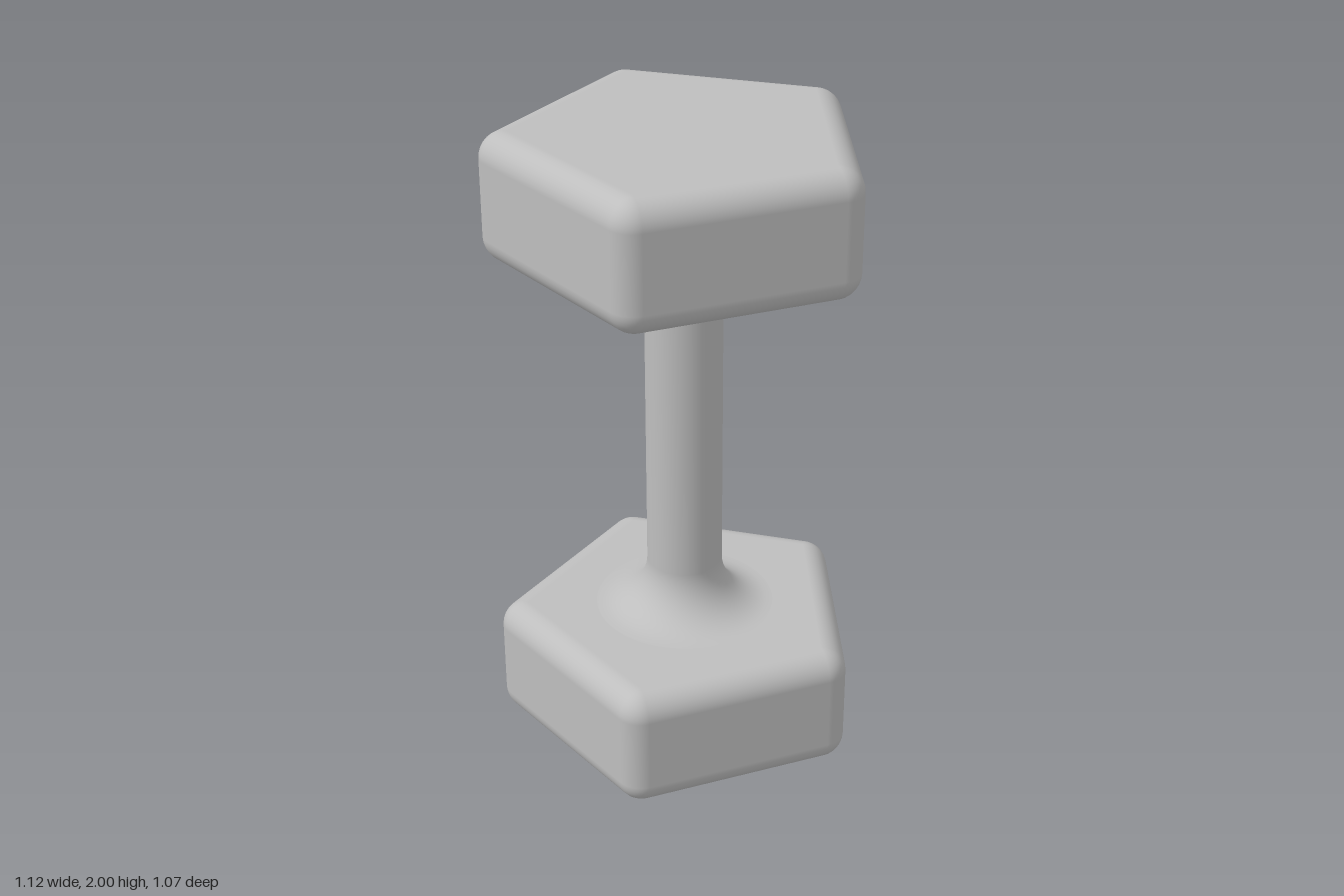
import * as THREE from 'three';

const AXIS_Z = 0.048;      // the handle axis sits slightly forward of the bounding centre
const HEAD_H = 0.4;        // height of each weight
const EDGE = 0.08;         // edge rounding
const CORNER_R = 0.503;    // distance from axis to the corner rounding centres
const WALL = 0.097;        // shell thickness of the hollow weight
const CAVITY_R = 0.48;
const HOLE_R = 0.16;

const metal = new THREE.MeshStandardMaterial({ color: 0xbebebe, side: THREE.DoubleSide });
metal.name = 'grey metal';

const cornerAngle = (k) => -Math.PI / 2 + (k * 2 * Math.PI) / 5;

function add(group, name, geometry) {
  const mesh = new THREE.Mesh(geometry, metal);
  mesh.name = name;
  group.add(mesh);
}

// Flat pentagon at height y, facing up or down, with an optional round hole
function pentagonPlate(radius, y, up, holeRadius = 0) {
  const s = up ? -1 : 1;
  const pts = [];
  for (let k = 0; k < 5; k++) {
    const a = cornerAngle(k);
    pts.push(new THREE.Vector2(radius * Math.cos(a), s * radius * Math.sin(a)));
  }
  const shape = new THREE.Shape(pts);
  if (holeRadius) shape.holes.push(new THREE.Path().absarc(0, 0, holeRadius, 0, Math.PI * 2, true));
  return new THREE.ShapeGeometry(shape, 32).rotateX((s * Math.PI) / 2).translate(0, y, 0);
}

// Rounded pentagonal side: a small arc swept round the five corners
function roundedSides() {
  const steps = 8;
  const rows = [];
  for (let i = 0; i <= steps; i++) rows.push([-Math.PI / 2 + (i / steps) * Math.PI / 2, EDGE]);
  for (let i = 0; i <= steps; i++) rows.push([(i / steps) * Math.PI / 2, HEAD_H - EDGE]);
  const pos = [], nor = [], index = [];
  const cols = 5 * (steps + 1) + 1;
  rows.forEach(([tilt, baseY], r) => {
    for (let c = 0; c < cols; c++) {
      const k = Math.floor(c / (steps + 1));
      const a = cornerAngle(k);
      const b = a + ((c % (steps + 1)) / steps - 0.5) * (2 * Math.PI / 5);
      const n = [Math.cos(tilt) * Math.cos(b), Math.sin(tilt), Math.cos(tilt) * Math.sin(b)];
      pos.push(CORNER_R * Math.cos(a) + EDGE * n[0], baseY + EDGE * n[1], CORNER_R * Math.sin(a) + EDGE * n[2]);
      nor.push(...n);
      if (r < rows.length - 1 && c < cols - 1) {
        const p = r * cols + c, q = p + cols;
        index.push(p, q, p + 1, q, q + 1, p + 1);
      }
    }
  });
  const g = new THREE.BufferGeometry();
  g.setAttribute('position', new THREE.Float32BufferAttribute(pos, 3));
  g.setAttribute('normal', new THREE.Float32BufferAttribute(nor, 3));
  g.setIndex(index);
  return g;
}

function createHead(name, y, holeRadius) {
  const head = new THREE.Group();
  head.name = name;
  head.position.y = y;
  add(head, 'sides', roundedSides());
  add(head, 'topFace', pentagonPlate(CORNER_R, HEAD_H, true));
  add(head, 'bottomFace', pentagonPlate(CORNER_R, 0, false, holeRadius));
  return head;
}

export function createModel() {
  const model = new THREE.Group();
  model.name = 'dumbbell';
  const body = new THREE.Group();
  body.name = 'body';
  body.position.z = AXIS_Z;
  model.add(body);

  const lower = createHead('lowerWeight', 0, HOLE_R);
  body.add(lower, createHead('upperWeight', 2 - HEAD_H, 0));

  // Hole and hollow inside of the lower weight, facing inwards
  const cavityH = HEAD_H - 2 * WALL;
  const holeWall = new THREE.CylinderGeometry(HOLE_R, HOLE_R, WALL, 48, 1, true)
    .translate(0, WALL / 2, 0).scale(-1, 1, 1);
  holeWall.computeVertexNormals();
  add(lower, 'holeWall', holeWall);
  const cavityWall = new THREE.CylinderGeometry(CAVITY_R, CAVITY_R, cavityH, 5, 1, true, Math.PI)
    .translate(0, HEAD_H / 2, 0).scale(-1, 1, 1).toNonIndexed();
  cavityWall.computeVertexNormals();
  add(lower, 'cavityWall', cavityWall);
  add(lower, 'cavityFloor', pentagonPlate(CAVITY_R, WALL, true, HOLE_R));
  add(lower, 'cavityCeiling', pentagonPlate(CAVITY_R, HEAD_H - WALL, false));

  // Handle with a concave fillet at each end
  const bar = 0.118, fillet = 0.163, n = 12;
  const profile = [];
  for (let i = 0; i <= n; i++) {
    const a = (i / n) * Math.PI / 2;
    profile.push(new THREE.Vector2(
      bar + fillet * (1 - Math.sin(a)),
      HEAD_H + fillet * (1 - Math.cos(a))
    ));
  }
  const upperHalf = profile.map((p) => new THREE.Vector2(p.x, 2 - p.y)).reverse();
  add(body, 'handle', new THREE.LatheGeometry([...profile, ...upperHalf], 64));

  return model;
}
